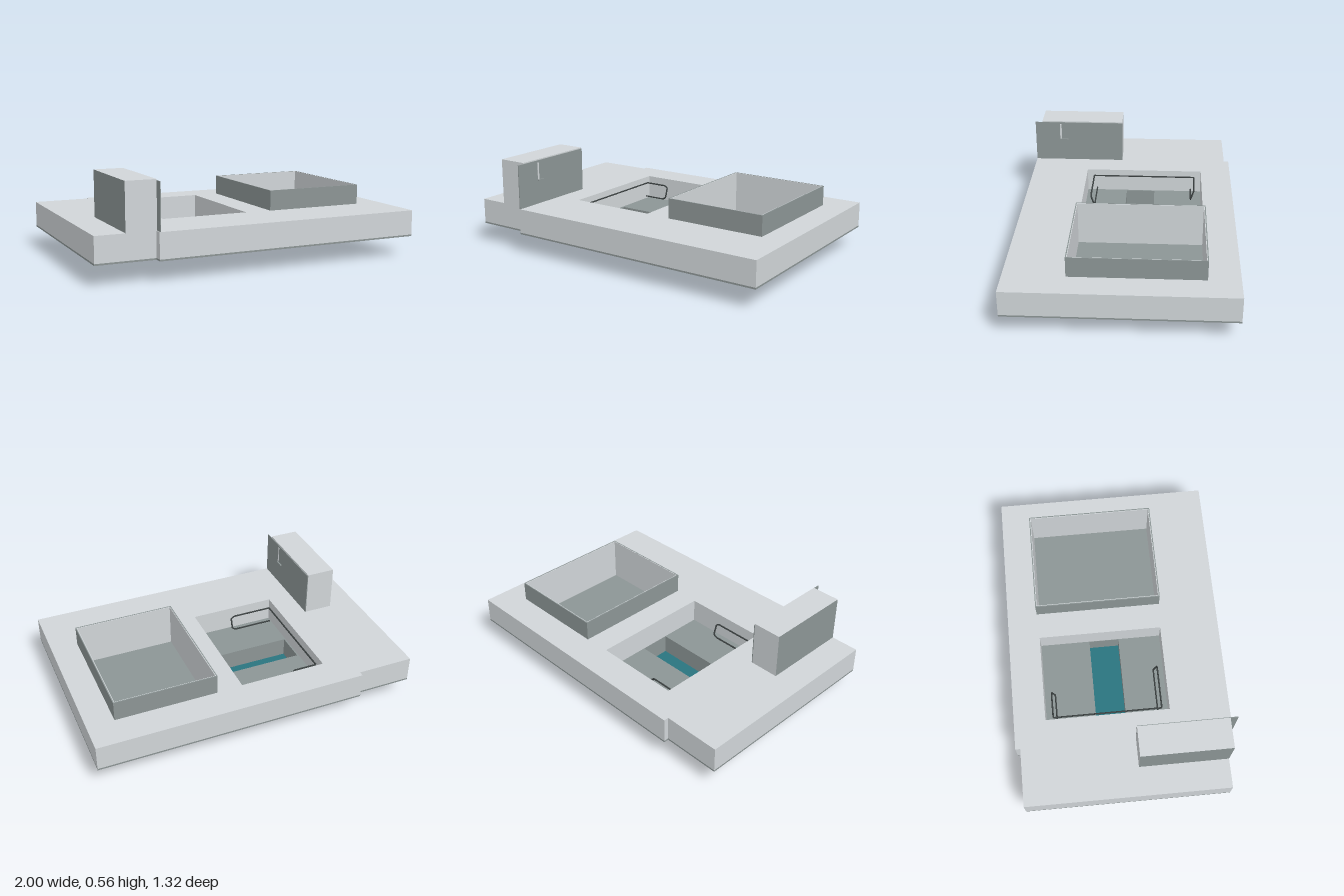
import * as THREE from 'three';

export function createModel() {
  const model = new THREE.Group();
  const mat = (name, color) => {
    const m = new THREE.MeshStandardMaterial({ color });
    m.name = name;
    return m;
  };
  const light = mat('light grey', 0xd0d5d8);
  const dark = mat('slate grey', 0x8c9595);
  const teal = mat('teal', 0x2a747f);
  const black = mat('rail charcoal', 0x3c4242);

  const add = (name, geometry, material, parent = model) => {
    const mesh = new THREE.Mesh(geometry, material);
    mesh.name = name;
    parent.add(mesh);
    return mesh;
  };
  // Rectangle corners in plan, as [x, z]
  const rect = (x0, x1, z0, z1) => [[x0, z0], [x1, z0], [x1, z1], [x0, z1]];
  // Flat slab with holes, standing from y0 to y1; holes wind against the outline
  const slab = (name, outline, holes, y0, y1, material, parent) => {
    const points = (list) => list.map(([x, z]) => new THREE.Vector2(x, -z));
    const shape = new THREE.Shape(points(outline).reverse());
    holes.forEach((h) => shape.holes.push(new THREE.Path(points(h))));
    const g = new THREE.ExtrudeGeometry(shape, { depth: y1 - y0, bevelEnabled: false });
    g.rotateX(-Math.PI / 2).translate(0, y0, 0);
    return add(name, g, material, parent);
  };
  const box = (name, x0, x1, y0, y1, z0, z1, material, parent) => {
    const g = new THREE.BoxGeometry(x1 - x0, y1 - y0, z1 - z0);
    g.translate((x0 + x1) / 2, (y0 + y1) / 2, (z0 + z1) / 2);
    return add(name, g, material, parent);
  };

  // Platform: light deck over a dark floor plate, with a set-back wing
  const outline = [
    [-1, -0.63], [-0.65, -0.63], [-0.65, -0.66], [1, -0.66],
    [1, 0.66], [-0.65, 0.66], [-0.65, 0.613], [-1, 0.613],
  ];
  const well = rect(-0.485, 0.05, -0.467, 0.295);
  const pen = rect(0.22, 0.825, -0.465, 0.295);
  const trench = rect(-0.475, 0.048, -0.157, 0.03);
  slab('deck', outline, [well, pen], 0.13, 0.28, light);
  slab('floorPlate', outline, [trench], 0.12, 0.13, dark);

  // Trench hanging below the floor
  slab('trenchWalls', rect(-0.49, 0.058, -0.164, 0.037), [trench], 0, 0.12, dark);
  box('trenchBase', -0.48, 0.05, 0, 0.006, -0.16, 0.035, dark);
  box('trenchBottom', -0.475, 0.048, 0.006, 0.012, -0.157, 0.03, teal);

  // Raised enclosure: dark outside, light lining inside
  const inner = rect(0.216, 0.829, -0.469, 0.299);
  slab('enclosureWalls', rect(0.21, 0.835, -0.475, 0.305), [inner], 0.28, 0.403, dark);
  slab('enclosureLining', inner, [pen], 0.28, 0.402, light);

  // Hut with dark long sides and a side panel reaching the platform front
  const hut = new THREE.Group();
  hut.name = 'hut';
  model.add(hut);
  box('hutBody', -0.825, -0.646, 0.28, 0.56, 0.07, 0.613, [light, dark, light, light, light, light], hut);
  box('hutSidePanel', -0.646, -0.641, 0.28, 0.553, 0.07, 0.66, dark, hut);
  box('hutWindow', -0.641, -0.639, 0.425, 0.54, 0.483, 0.495, light, hut);
  box('hutWindowSill', -0.641, -0.632, 0.425, 0.433, 0.44, 0.495, dark, hut);

  // Handrail along the side of the well, with a looped return at both ends
  const rails = new THREE.Group();
  rails.name = 'handrail';
  model.add(rails);
  const tube = (name, pts) => {
    const path = new THREE.CurvePath();
    const v = pts.map((p) => new THREE.Vector3(...p));
    for (let i = 1; i < v.length; i++) path.add(new THREE.LineCurve3(v[i - 1], v[i]));
    add(name, new THREE.TubeGeometry(path, 60, 0.005, 6), black, rails);
  };
  tube('sideRail', [[-0.465, 0.245, -0.42], [-0.465, 0.245, 0.25]]);
  for (const [z, zLow, x] of [[-0.42, -0.4, -0.3], [0.25, 0.23, -0.19]]) {
    tube('endRail', [
      [-0.465, 0.245, z], [x - 0.02, 0.245, z], [x, 0.23, z],
      [x, 0.17, zLow], [x - 0.02, 0.155, zLow], [-0.465, 0.155, zLow],
    ]);
  }
  return model;
}
